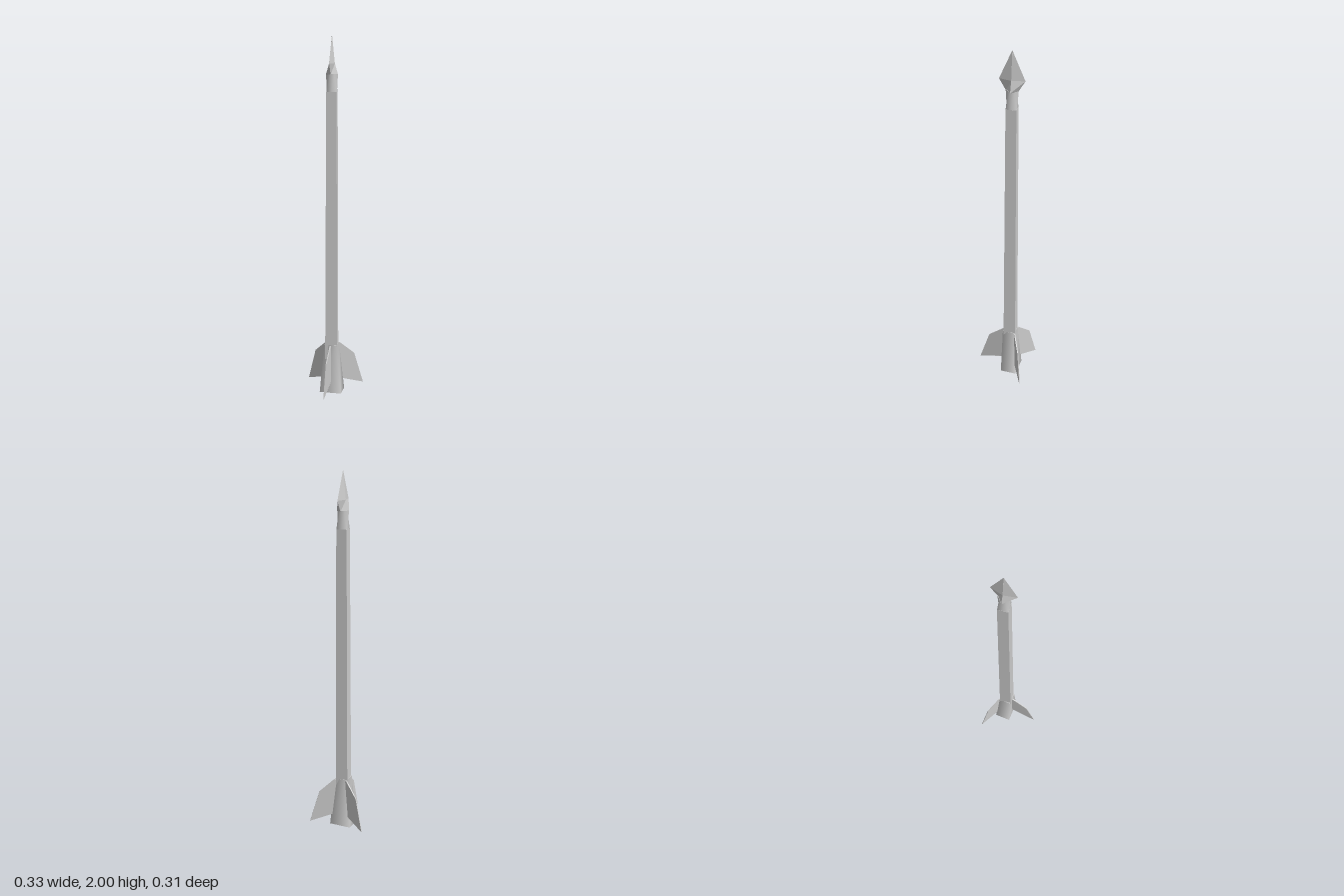
import * as THREE from 'three';

const AXIS_Z = -0.042;

function material(flat) {
  return new THREE.MeshStandardMaterial({ color: 0xcccccc, flatShading: flat, side: THREE.DoubleSide });
}

// Skin a stack of rings; each ring is { y, pts: [[x, z], ...] }, running from +z towards +x.
function loft(name, rings, flat) {
  const n = rings[0].pts.length;
  const pos = [];
  const index = [];
  const addRing = (r) => {
    const start = pos.length / 3;
    r.pts.forEach(([x, z]) => pos.push(x, r.y, z));
    return start;
  };
  rings.forEach(addRing);
  for (let k = 0; k < rings.length - 1; k++) {
    for (let i = 0; i < n; i++) {
      const j = (i + 1) % n;
      const a = k * n + i, b = k * n + j, c = b + n, d = a + n;
      index.push(a, b, c, a, c, d);
    }
  }
  // separate cap vertices keep the end edges sharp
  const bottom = addRing(rings[0]);
  const top = addRing(rings[rings.length - 1]);
  for (let i = 1; i < n - 1; i++) {
    index.push(bottom, bottom + i + 1, bottom + i, top, top + i, top + i + 1);
  }
  const geo = new THREE.BufferGeometry();
  geo.setAttribute('position', new THREE.Float32BufferAttribute(pos, 3));
  geo.setIndex(index);
  geo.computeVertexNormals();
  const mesh = new THREE.Mesh(geo, material(flat));
  mesh.name = name;
  return mesh;
}

// Rectangular ring with half sizes hx, hz, turned about the vertical axis.
function rect(y, hx, hz, turn = 0, cz = AXIS_Z) {
  const c = Math.cos(turn), s = Math.sin(turn);
  const pts = [[-1, 1], [1, 1], [1, -1], [-1, -1]].map(([sx, sz]) => {
    const x = sx * hx, z = sz * hz;
    return [x * c + z * s, cz - x * s + z * c];
  });
  return { y, pts };
}

// Diamond ring with its corners on the axes.
function diamond(y, rx, rz) {
  return { y, pts: [[0, AXIS_Z + rz], [rx, AXIS_Z], [0, AXIS_Z - rz], [-rx, AXIS_Z]] };
}

// Add the midpoint of every side to a ring.
function withMidpoints(ring, midFirst) {
  const { pts } = ring;
  const out = [];
  pts.forEach((p, i) => {
    const q = pts[(i + 1) % pts.length];
    out.push(p, [(p[0] + q[0]) / 2, (p[1] + q[1]) / 2]);
  });
  if (midFirst) out.push(out.shift());
  return { y: ring.y, pts: out };
}

// Thin swept-back fin, pointing along +z before it is turned.
function fin(name, angle, root, size) {
  const outline = [[-0.03, 0.28], [0, 0.28], [0.093, 0.207], [0.152, 0.024], [0, 0.066], [-0.03, 0.075]];
  const shape = new THREE.Shape(outline.map(([r, y]) => new THREE.Vector2(r * size, y)));
  const geo = new THREE.ExtrudeGeometry(shape, { depth: 0.007, bevelEnabled: false });
  geo.translate(0, 0, -0.0035);
  geo.rotateY(-Math.PI / 2);
  // thin the blade towards its tip
  const p = geo.attributes.position;
  for (let i = 0; i < p.count; i++) {
    p.setX(i, p.getX(i) * (1 - 3.5 * Math.max(0, p.getZ(i))));
  }
  geo.computeVertexNormals();
  const mesh = new THREE.Mesh(geo, material(true));
  mesh.name = name;
  mesh.rotation.y = angle;
  mesh.position.set(root[0], 0, root[1]);
  return mesh;
}

export function createModel() {
  const group = new THREE.Group();
  group.name = 'arrow';
  const turn = 0.11;

  // slightly twisted, tapering square shaft
  group.add(loft('shaft', [
    rect(0.2, 0.034, 0.035, turn, -0.04),
    rect(1.7, 0.028, 0.028, turn),
  ], true));

  // flared tail block
  group.add(loft('tailBlock', [
    rect(0, 0.062, 0.046, 0, -0.046),
    rect(0.285, 0.035, 0.036, 0, -0.04),
  ], false));

  // collar changing from square to diamond
  group.add(loft('collar', [
    withMidpoints(rect(1.7, 0.0275, 0.0275, turn), true),
    withMidpoints(diamond(1.795, 0.033, 0.034), false),
  ], false));

  // leaf-shaped point, flat across x and broad along z
  group.add(loft('arrowHead', [
    diamond(1.79, 0.034, 0.032),
    diamond(1.85, 0.016, 0.069),
    diamond(2, 0.0005, 0.0005),
  ], true));

  // three fins around the tail
  group.add(fin('frontFin', -0.02, [0, 0.002], 1));
  for (const s of [1, -1]) {
    group.add(fin(s > 0 ? 'leftFin' : 'rightFin', s * (Math.PI * 2 / 3), [s * 0.038, -0.079], 0.94));
  }
  return group;
}
